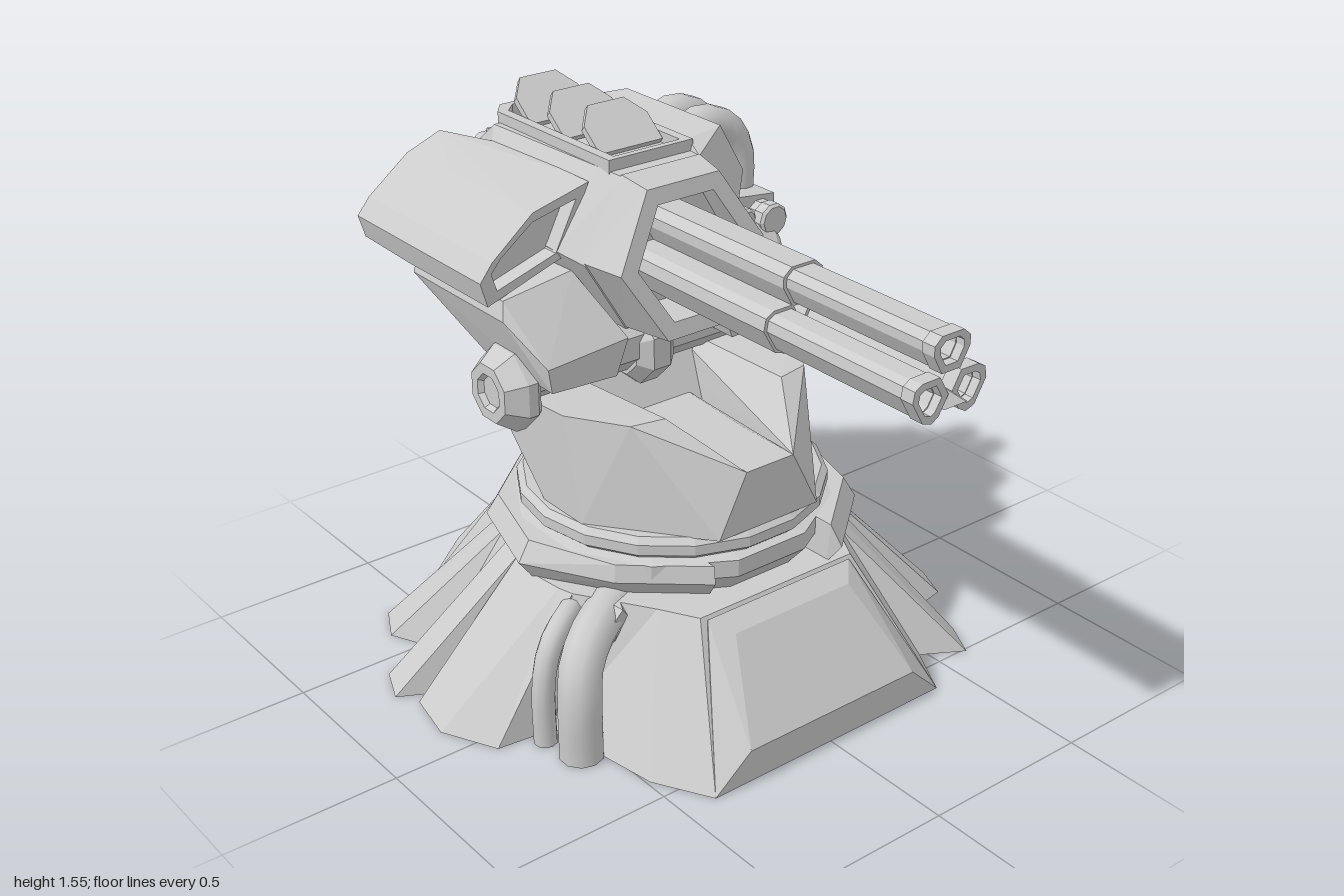
import * as THREE from 'three';
import { ConvexGeometry } from 'three/addons/geometries/ConvexGeometry.js';

const mat = new THREE.MeshStandardMaterial({ color: 0xcccccc, flatShading: true, side: THREE.DoubleSide });
const smooth = new THREE.MeshStandardMaterial({ color: 0xcccccc, side: THREE.DoubleSide });
const V = (x, y, z) => new THREE.Vector3(x, y, z);

export function createModel() {
  const model = new THREE.Group();

  const add = (name, geo, parent = model, m = mat) => {
    const mesh = new THREE.Mesh(geo, m);
    mesh.name = name;
    parent.add(mesh);
    return mesh;
  };
  // Convex block through points; mirrored points are added when both is true
  const hull = (name, pts, both = false, parent = model) => {
    const all = pts.map(p => V(...p));
    if (both) pts.forEach(p => p[0] && all.push(V(-p[0], p[1], p[2])));
    return add(name, new ConvexGeometry(all), parent);
  };
  const flip = (pts, s) => pts.map(([x, y, z]) => [x * s, y, z]);
  const tube = (name, pts, r, parent = model) =>
    add(name, new THREE.TubeGeometry(new THREE.CatmullRomCurve3(pts.map(p => V(...p))), 10, r, 10), parent, smooth);
  const poly = pts => pts.map(p => new THREE.Vector2(...p));
  // Turned part lying along x or z
  const turned = (name, axis, prof, pos, sides) => {
    const g = new THREE.LatheGeometry(poly(prof), sides);
    g.rotateY(Math.PI / sides);
    if (axis === 'x') g.rotateZ(-Math.PI / 2); else g.rotateX(Math.PI / 2);
    const mesh = add(name, g);
    mesh.position.set(...pos);
    return mesh;
  };
  // Closed rod with chamfered ends
  const rod = (name, axis, r, len, pos, sides = 12, ch = r * 0.3) => {
    const h = len / 2;
    return turned(name, axis, [[0, -h], [r - ch, -h], [r, -h + ch], [r, h - ch], [r - ch, h], [0, h]], pos, sides);
  };
  const extrude = (outer, hole, depth) => {
    const s = new THREE.Shape(poly(outer));
    if (hole) s.holes.push(new THREE.Path(poly(hole)));
    return new THREE.ExtrudeGeometry(s, { depth, bevelEnabled: false });
  };

  // Pleated skirt: half outline, repeated by a half turn about z = -0.1
  const CZ = -0.1;
  const half = [[0.4, 0.59], [0.48, 0.44], [0.6, 0.51], [0.656, 0.4], [0.59, 0.26], [0.765, 0.23], [0.81, 0.12],
    [0.66, 0.04], [0.77, 0.06], [0.8, -0.1], [0.72, -0.26], [0.55, -0.28], [0.49, -0.63], [0.4, -0.79]];
  const foot = [...half, ...half.map(([x, z]) => [-x, 2 * CZ - z])];
  const pos = [], idx = [], n = foot.length;
  foot.forEach(([x, z]) => {
    const a = Math.atan2(x, z - CZ), r = Math.abs(Math.cos(a)) > 0.83 ? 0.53 : 0.48;
    pos.push(x, 0, z, r * Math.sin(a), 0.38, CZ + r * Math.cos(a));
  });
  pos.push(0, 0, CZ, 0, 0.38, CZ);
  for (let i = 0; i < n; i++) {
    const a = 2 * i, b = 2 * ((i + 1) % n);
    idx.push(a, b, b + 1, a, b + 1, a + 1, 2 * n, b, a, 2 * n + 1, a + 1, b + 1);
  }
  const skirt = new THREE.BufferGeometry();
  skirt.setAttribute('position', new THREE.Float32BufferAttribute(pos, 3));
  skirt.setIndex(idx);
  skirt.computeVertexNormals();
  add('pleatedSkirt', skirt);

  // Raised panel, cable pair and collar half, alike at opposite sides of the base
  for (const turn of [0, Math.PI]) {
    const side = new THREE.Group();
    side.name = turn ? 'backBaseDetails' : 'frontBaseDetails';
    side.position.z = CZ;
    side.rotation.y = turn;
    model.add(side);
    hull('slopedPanel', [[0.4, 0, 0.69], [0.29, 0.105, 0.7], [0.2, 0.34, 0.525], [0.25, 0.375, 0.47], [0.25, 0, 0.4]], true, side);
    tube('thickBaseCable', [[-0.56, 0, 0.32], [-0.56, 0.18, 0.32], [-0.54, 0.26, 0.3], [-0.47, 0.32, 0.26], [-0.34, 0.34, 0.19]], 0.062, side);
    tube('thinBaseCable', [[-0.6, 0, 0.21], [-0.6, 0.18, 0.21], [-0.57, 0.28, 0.2], [-0.5, 0.33, 0.17], [-0.38, 0.33, 0.1]], 0.033, side);
    hull('cableSocket', [[-0.48, 0.29, 0.29], [-0.4, 0.38, 0.3], [-0.5, 0.3, 0.13], [-0.42, 0.38, 0.1],
      [-0.3, 0.38, 0.1], [-0.3, 0.25, 0.25]], false, side);
    // The collar is flared over the pleats and undercut above the cables
    const pts = [];
    for (let i = 0; i <= 4; i++) {
      const a = THREE.MathUtils.degToRad(24 + 33 * i);
      const prof = i < 3 ? [[0.48, 0.37], [0.525, 0.43], [0.49, 0.49]] : [[0.41, 0.375], [0.47, 0.44], [0.46, 0.49]];
      prof.forEach(([r, y]) => pts.push([r * Math.sin(a), y, r * Math.cos(a)]));
    }
    hull('collarHalf', pts, false, side);
  }
  const lathe = (name, prof, seg) => {
    const g = new THREE.LatheGeometry(poly(prof), seg);
    g.rotateY(Math.PI / seg);
    add(name, g).position.z = CZ;
  };
  lathe('collarCore', [[0, 0.36], [0.39, 0.37], [0.45, 0.44], [0.45, 0.49], [0.41, 0.5], [0, 0.5]], 12);
  lathe('bearingRing', [[0, 0.5], [0.42, 0.5], [0.438, 0.515], [0.438, 0.545], [0.42, 0.562], [0, 0.562]], 18);

  // Turret body: prow, rear block and two shoulders around a V-shaped gap
  hull('prow', [[0.17, 0.56, 0.32], [0.08, 0.735, 0.32], [0.08, 0.735, 0.1], [0.2, 0.56, -0.25], [0.15, 0.7, -0.3]], true);
  hull('bodyRear', [[0.3, 0.56, -0.1], [0.28, 0.82, -0.25], [0.28, 0.83, -0.42], [0.28, 0.73, -0.48], [0.24, 0.56, -0.28]], true);
  for (const s of [1, -1]) {
    hull('shoulder', flip([[0.17, 0.56, 0.32], [0.08, 0.735, 0.32], [0.2, 0.855, 0.13], [0.3, 0.855, 0.11], [0.08, 0.6, 0.28],
      [0.4, 0.56, 0.02], [0.4, 0.855, -0.05], [0.4, 0.83, -0.42], [0.22, 0.83, -0.42], [0.32, 0.73, -0.48],
      [0.22, 0.73, -0.46], [0.4, 0.56, -0.15], [0.24, 0.56, -0.28]], s));
    // Pivot hub with a chamfered outer face
    turned('pivotHub', 'x', [[0, 0], [0.11, 0], [0.123, 0.015], [0.123, 0.045], [0.085, 0.1], [0.055, 0.1], [0.045, 0.085], [0, 0.085]]
      .map(([r, x]) => [r, x * s]), [s * 0.4, 0.875, -0.25], 8);
    // Flared bracket carrying the gun
    hull('gunBracket', flip([[0.16, 1.0, -0.08], [0.2, 0.9, -0.08], [0.41, 0.91, -0.08], [0.42, 0.98, -0.08],
      [0.2, 0.9, -0.4], [0.41, 0.92, -0.4], [0.475, 1.09, -0.2], [0.46, 1.14, -0.22], [0.24, 1.17, -0.22],
      [0.475, 1.09, -0.64], [0.46, 1.14, -0.64], [0.24, 1.17, -0.64], [0.24, 1.06, -0.56]], s));
  }
  rod('pivotAxle', 'x', 0.09, 0.8, [0, 0.912, -0.25], 8, 0.01);
  rod('axleCentre', 'x', 0.12, 0.13, [0, 0.89, -0.25], 8);
  rod('rearCanister', 'x', 0.088, 0.46, [0, 0.73, -0.49], 14, 0.02);

  // Gun housing
  hull('gunHousing', [[0.26, 1.215, -0.13], [0.13, 1.43, -0.13], [0.13, 1.0, -0.13],
    [0.28, 1.23, -0.24], [0.14, 1.435, -0.22], [0.13, 1.02, -0.5], [0.28, 1.25, -0.58], [0.16, 1.435, -0.69],
    [0.27, 1.18, -0.64], [0.14, 1.0, -0.74], [0.14, 1.36, -0.8], [0.17, 1.23, -0.81]], true);
  // Armour plate on the hose side
  hull('sidePlate', [[0.13, 1.43, -0.14], [0.26, 1.215, -0.14], [0.25, 1.475, -0.2], [0.35, 1.32, -0.22], [0.14, 1.46, -0.2],
    [0.25, 1.475, -0.62], [0.35, 1.32, -0.6], [0.14, 1.46, -0.68], [0.26, 1.215, -0.64], [0.15, 1.38, -0.79]]);
  const hex = (rx, ry) => [[rx, 0], [rx / 2, ry], [-rx / 2, ry], [-rx, 0], [-rx / 2, -ry], [rx / 2, -ry]];
  const rim = extrude(hex(0.26, 0.215), hex(0.2, 0.167), 0.14);
  const p = rim.attributes.position;
  for (let i = 0; i < p.count; i++) if (p.getZ(i) > 0.1) {
    p.setXY(i, p.getX(i) * 0.92, p.getY(i) * 0.92);
    p.setZ(i, p.getZ(i) - p.getY(i) * 0.22);
  }
  rim.computeVertexNormals();
  add('frontRim', rim).position.set(0, 1.22, -0.14);

  // Top vent: narrow frame with three slanted fins
  const frame = extrude([[-0.14, 0.18], [0.14, 0.18], [0.14, 0.7], [0.1, 0.75], [-0.1, 0.75], [-0.14, 0.7]],
    [[-0.11, 0.2], [0.11, 0.2], [0.11, 0.69], [0.07, 0.73], [-0.07, 0.73], [-0.11, 0.69]], 0.05);
  frame.rotateX(-Math.PI / 2);
  add('ventFrame', frame).position.y = 1.415;
  for (let i = 0; i < 3; i++) {
    const fin = extrude([[-0.105, 0], [0.105, 0], [0.105, 0.09], [0.06, 0.15], [-0.06, 0.15], [-0.105, 0.09]], null, 0.02);
    fin.rotateX(-0.87);
    add('ventFin', fin).position.set(0, 1.435, -0.28 - i * 0.16);
  }

  // Rear block
  hull('rearBlock', [[0.1, 1.1, -0.78], [0.1, 1.3, -0.78], [0.05, 1.33, -0.78], [0.1, 1.1, -0.92], [0.1, 1.29, -0.94],
    [0.04, 1.315, -0.96], [0, 1.28, -1], [0, 1.1, -0.96]], true);
  hull('rearStep', [[0.09, 1.375, -0.76], [0.09, 1.37, -0.84], [0.09, 1.32, -0.85], [0.09, 1.3, -0.76]], true);

  // Three barrels with sleeves
  const section = k => [[-0.035, 0.118], [0.035, 0.118], [0.058, 0.098], [0.058, 0.072], [0.03, 0.022], [-0.03, 0.022], [-0.058, 0.072], [-0.058, 0.098]]
    .map(([x, y]) => [x * k, 0.075 + (y - 0.075) * k]);
  for (let i = 0; i < 3; i++) {
    const barrel = new THREE.Group();
    barrel.name = 'barrel' + (i + 1);
    barrel.position.set(0, 1.215, 0);
    barrel.rotation.z = i * Math.PI * 2 / 3;
    model.add(barrel);
    add('barrelTube', extrude(section(0.93), section(0.6), 1.06), barrel).position.z = -0.14;
    add('barrelSleeve', extrude(section(1.1), section(0.85), 0.57), barrel).position.z = -0.14;
    add('muzzle', extrude(section(1), section(0.65), 0.04), barrel).position.z = 0.905;
  }
  hull('muzzleBlade', [[0.002, 1.18, 1], [0.002, 1.19, 0.9], [0.002, 1.13, 0.93], [0.002, 1.15, 0.9]], true);

  // Armoured side pod on the right with a recessed front
  const podOut = [[-0.17, 1.4], [-0.35, 1.355], [-0.48, 1.25], [-0.52, 1.2], [-0.5, 1.13], [-0.26, 1.21]];
  const podIn = podOut.map(([x, y]) => [-0.36 + (x + 0.36) * 0.78, 1.265 + (y - 1.265) * 0.72]);
  add('podFrame', extrude(podOut, podIn, 0.06)).position.z = -0.29;
  hull('sidePod', podOut.flatMap(([x, y]) => [[x, y, -0.28], [x, y, -0.62],
    [Math.min(-0.24, x), 1.25 + (y - 1.25) * 0.95, -0.85]]));

  // Left side: supply cylinders and two arched hoses
  for (const [x, y, r] of [[0.285, 1.19, 0.034], [0.355, 1.172, 0.034], [0.455, 1.148, 0.05]]) {
    rod('supplyCylinder', 'z', r * 0.92, 0.44, [x, y, -0.435], 10);
    for (const z of [-0.225, -0.645]) rod('cylinderCap', 'z', r, 0.05, [x, y, z], 10, 0.008);
  }
  hull('cylinderCradle', [[0.25, 1.23, -0.27], [0.51, 1.2, -0.27], [0.51, 1.11, -0.27], [0.3, 1.1, -0.27],
    [0.25, 1.23, -0.6], [0.51, 1.2, -0.6], [0.51, 1.11, -0.6], [0.3, 1.1, -0.6]]);
  for (const z of [-0.39, -0.515])
    tube('archedHose', [[0.25, 1.38, z], [0.33, 1.41, z], [0.41, 1.385, z], [0.46, 1.31, z], [0.46, 1.18, z]], 0.056);

  return model;
}
